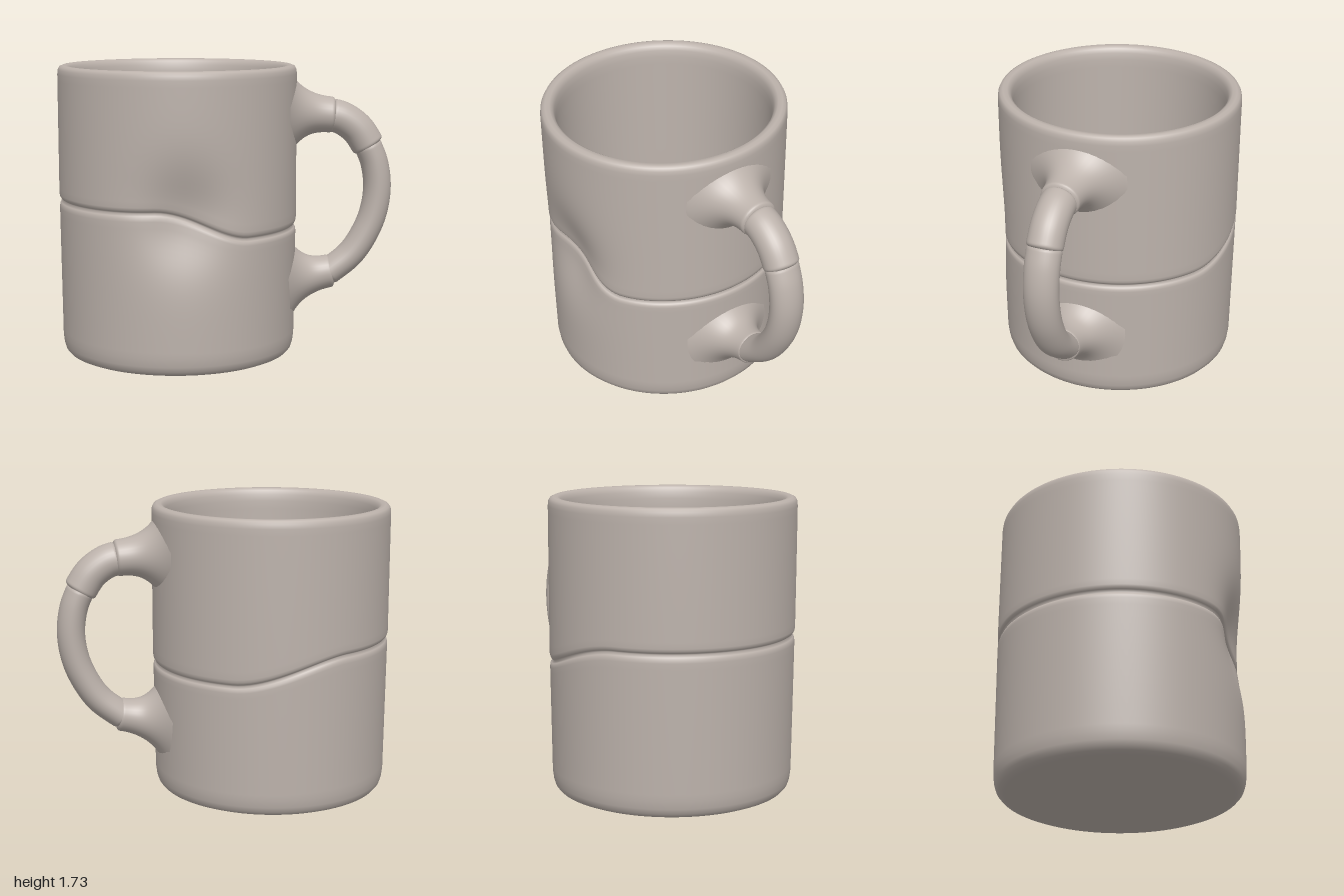
import * as THREE from 'three';
import { mergeVertices } from 'three/addons/utils/BufferGeometryUtils.js';

const { smoothstep } = THREE.MathUtils;
const SEAM_Y = 0.85;

// Height of the groove around the mug: high on the left half, low by the handle
function seamHeight(angle) {
  const a = angle < -1.5 ? angle + 2 * Math.PI : angle;
  return 0.935 - 0.16 * smoothstep(a, -0.2, 0.6) + 0.16 * smoothstep(a, 2.6, 3.6);
}

function smooth(geometry) {
  geometry.deleteAttribute('uv');
  geometry.deleteAttribute('normal');
  const merged = mergeVertices(geometry, 1e-4);
  merged.computeVertexNormals();
  return merged;
}

// Hollow cup: a lathe whose groove follows the seam and whose front is dented
function cupGeometry() {
  const profile = [];
  const add = (r, y) => profile.push(new THREE.Vector2(r, y));
  const rows = (r0, y0, r1, y1, n) => {
    for (let i = 0; i <= n; i++) add(r0 + (r1 - r0) * i / n, y0 + (y1 - y0) * i / n);
  };
  [[0, 0], [0.3, 0], [0.6, 0], [0.64, 0.004], [0.668, 0.016], [0.685, 0.036], [0.694, 0.065]].forEach(p => add(...p));
  rows(0.7, 0.11, 0.708, 0.81, 20);
  [[0.706, 0.825], [0.7, 0.838], [0.684, 0.85], [0.7, 0.862], [0.707, 0.875]].forEach(p => add(...p));
  rows(0.71, 0.89, 0.71, 1.68, 20);
  [[0.707, 1.705], [0.698, 1.722], [0.68, 1.73], [0.655, 1.728], [0.638, 1.715], [0.628, 1.69]].forEach(p => add(...p));
  rows(0.622, 1.65, 0.602, 0.14, 30);
  [[0.598, 0.115], [0.585, 0.102], [0.57, 0.1], [0.3, 0.1], [0, 0.1]].forEach(p => add(...p));

  const geometry = new THREE.LatheGeometry(profile, 128);
  const pos = geometry.attributes.position;
  for (let i = 0; i < pos.count; i++) {
    const x = pos.getX(i);
    let y = pos.getY(i);
    let z = pos.getZ(i) * 1.02;
    if (Math.hypot(x, z) > 0.01) {
      const falloff = Math.max(0, 1 - Math.abs(y - SEAM_Y) / 0.75);
      y += (seamHeight(Math.atan2(x, z)) - SEAM_Y) * falloff;
      if (z > 0) {
        const dent = Math.exp(-(((x - 0.03) / 0.24) ** 2) - ((y - 0.9) / 0.27) ** 2);
        z -= 0.09 * dent * smoothstep(z, 0.1, 0.5);
      }
    }
    pos.setXYZ(i, x, y, z);
  }
  return smooth(geometry);
}

// Tube along points in the XY plane, with a radius rule and a depth stretch
function sweep(points, radiusAt, rows, depth) {
  const curve = new THREE.CatmullRomCurve3(points.map(([x, y]) => new THREE.Vector3(x, y, 0)));
  const length = curve.getLength();
  const sides = 32;
  const geometry = new THREE.TubeGeometry(curve, rows, 1, sides);
  const pos = geometry.attributes.position;
  const p = new THREE.Vector3();
  for (let j = 0; j <= rows; j++) {
    const centre = curve.getPointAt(j / rows);
    const r = radiusAt(j / rows, length);
    for (let k = 0; k <= sides; k++) {
      const i = j * (sides + 1) + k;
      p.fromBufferAttribute(pos, i).sub(centre).multiplyScalar(r);
      p.z *= depth;
      p.add(centre);
      pos.setXYZ(i, p.x, p.y, p.z);
    }
  }
  return smooth(geometry);
}

// Constant radius with both ends rounded off
function sausage(radius, round = 0.04) {
  return (t, length) => {
    const d = Math.min(1, Math.min(t, 1 - t) * length / round);
    return Math.max(0.002, radius * Math.sqrt(1 - (1 - d) ** 3));
  };
}

// Flared root against the wall, rounded at the free end
function flare(radius, spread) {
  return (t, length) => {
    const end = Math.min(1, (1 - t) * length / 0.035);
    return Math.max(0.002, (radius + spread * (1 - t) ** 3) * Math.sqrt(1 - (1 - end) ** 3));
  };
}

export function createModel() {
  const clay = new THREE.MeshStandardMaterial({ color: 0xbcb2ab });
  clay.name = 'warm grey clay';

  const model = new THREE.Group();
  model.name = 'mug';
  const add = (name, geometry, parent) => {
    const mesh = new THREE.Mesh(geometry, clay);
    mesh.name = name;
    parent.add(mesh);
    return mesh;
  };

  add('cup', cupGeometry(), model).position.x = -0.29;

  // Handle in four joined pieces
  const handle = new THREE.Group();
  handle.name = 'handle';
  model.add(handle);
  add('upperRoot', sweep([[0.36, 1.44], [0.5, 1.437], [0.66, 1.425]], flare(0.108, 0.165), 40, 1.08), handle);
  add('upperJoint', sweep([[0.615, 1.43], [0.7, 1.405], [0.79, 1.34], [0.868, 1.225]], sausage(0.1), 48, 1.05), handle);
  add('grip', sweep([[0.845, 1.265], [0.895, 1.14], [0.915, 1], [0.9, 0.86], [0.855, 0.73], [0.76, 0.58], [0.6, 0.45]],
    sausage(0.083), 90, 1.24), handle);
  add('lowerRoot', sweep([[0.36, 0.44], [0.5, 0.45], [0.655, 0.475]], flare(0.1, 0.175), 40, 1.05), handle);

  return model;
}
